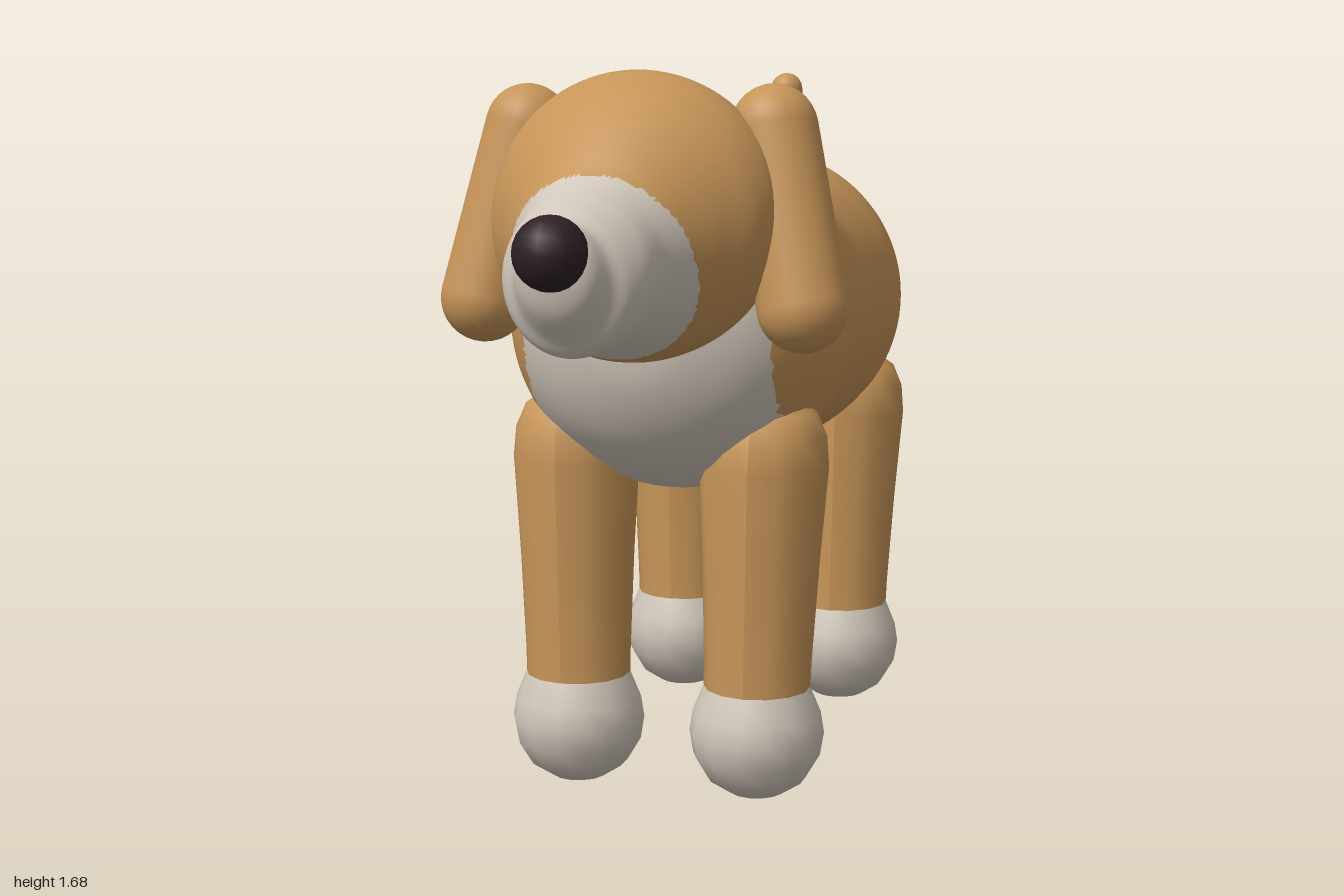
import * as THREE from 'three';

const material = (name, color) => {
  const m = new THREE.MeshStandardMaterial({ color });
  m.name = name;
  return m;
};

// Smooth skin through oval sections [z, centreY, halfHeight, halfWidth];
// faces for which isPale(x, y, z) holds go to the second material.
function loft(name, sections, materials, isPale) {
  const rows = 110, cols = 96, pos = [], tan = [], pale = [];
  const spine = new THREE.CatmullRomCurve3(
    sections.map(([z, y, h]) => new THREE.Vector3(z, y, h)), false, 'catmullrom');
  const width = new THREE.CatmullRomCurve3(
    sections.map((s) => new THREE.Vector3(s[3], 0, 0)), false, 'catmullrom');
  for (let i = 0; i <= rows; i++) {
    const s = spine.getPoint(i / rows);
    const w = Math.max(width.getPoint(i / rows).x, 0.0005);
    const h = Math.max(s.z, 0.0005);
    for (let j = 0; j < cols; j++) {
      const a = (j / cols) * Math.PI * 2;
      pos.push(w * Math.cos(a), s.y + h * Math.sin(a), s.x);
    }
  }
  const addFace = (...face) => {
    const mid = [0, 1, 2].map((k) => face.reduce((sum, v) => sum + pos[v * 3 + k] / 3, 0));
    (isPale(...mid) ? pale : tan).push(...face);
  };
  for (let i = 0; i < rows; i++) {
    for (let j = 0; j < cols; j++) {
      const a = i * cols + j, b = i * cols + (j + 1) % cols;
      addFace(a, b, b + cols);
      addFace(a, b + cols, a + cols);
    }
  }
  const g = new THREE.BufferGeometry();
  g.setAttribute('position', new THREE.Float32BufferAttribute(pos, 3));
  g.setIndex([...tan, ...pale]);
  g.addGroup(0, tan.length, 0);
  g.addGroup(tan.length, pale.length, 1);
  g.computeVertexNormals();
  const mesh = new THREE.Mesh(g, materials);
  mesh.name = name;
  return mesh;
}

// Round-ended tapered limb from point a (radius ra) to point b (radius rb)
function limb(name, a, ra, b, rb, mat, sides) {
  const from = new THREE.Vector3(...a), dir = new THREE.Vector3(...b).sub(from);
  const len = dir.length(), profile = [];
  for (let i = 0; i <= 8; i++) {
    const t = (i / 8) * Math.PI / 2;
    profile.push(new THREE.Vector2(ra * Math.sin(t), -ra * Math.cos(t)));
  }
  for (let i = 0; i <= 8; i++) {
    const t = (i / 8) * Math.PI / 2;
    profile.push(new THREE.Vector2(rb * Math.cos(t), len + rb * Math.sin(t)));
  }
  const mesh = new THREE.Mesh(new THREE.LatheGeometry(profile, sides), mat);
  mesh.position.copy(from);
  mesh.quaternion.setFromUnitVectors(new THREE.Vector3(0, 1, 0), dir.normalize());
  mesh.name = name;
  return mesh;
}

function lathe(name, points, mat) {
  const mesh = new THREE.Mesh(
    new THREE.LatheGeometry(points.map((p) => new THREE.Vector2(...p)), 14), mat);
  mesh.name = name;
  return mesh;
}

export function createModel() {
  const model = new THREE.Group();
  model.name = 'dog';
  const tan = material('tan fur', 0xc69458);
  const pale = material('pale fur', 0xd0c6ba);
  const dark = material('dark nose', 0x2e2024);

  // Body with pale chest patch
  model.add(loft('body', [
    [-1, 1.09, 0, 0], [-0.973, 1.09, 0.14, 0.14], [-0.9, 1.09, 0.257, 0.257],
    [-0.78, 1.09, 0.345, 0.342], [-0.62, 1.092, 0.383, 0.38], [-0.45, 1.092, 0.38, 0.373],
    [-0.28, 1.095, 0.37, 0.368], [-0.12, 1.105, 0.39, 0.385], [0.03, 1.115, 0.412, 0.397],
    [0.15, 1.12, 0.405, 0.385], [0.27, 1.115, 0.35, 0.345], [0.37, 1.11, 0.255, 0.255],
    [0.435, 1.11, 0.13, 0.13], [0.455, 1.11, 0, 0],
  ], [tan, pale], (x, y, z) => Math.abs(x) < 0.29 && z > -0.03 && y < 1.2));

  // Head running into the pale muzzle
  model.add(loft('head', [
    [0.07, 1.36, 0, 0], [0.09, 1.36, 0.11, 0.11], [0.15, 1.36, 0.207, 0.21],
    [0.25, 1.36, 0.281, 0.29], [0.38, 1.36, 0.315, 0.325], [0.48, 1.348, 0.298, 0.305],
    [0.56, 1.33, 0.26, 0.25], [0.63, 1.305, 0.22, 0.2], [0.7, 1.278, 0.178, 0.167],
    [0.78, 1.26, 0.16, 0.158], [0.83, 1.252, 0.148, 0.135], [0.86, 1.26, 0.122, 0.105],
    [0.91, 1.285, 0.085, 0.075], [0.935, 1.29, 0, 0],
  ], [tan, pale], (x, y, z) => z > 0.55 + 0.39 * (y - 1.1)));

  // Nose
  const nose = new THREE.Mesh(new THREE.SphereGeometry(0.076, 16, 12), dark);
  nose.name = 'nose';
  nose.position.set(0, 1.32, 0.924);
  model.add(nose);

  // Tail
  model.add(limb('tail', [0, 1.2, -0.915], 0.068, [0, 1.628, -0.905], 0.043, tan, 20));

  for (const side of [1, -1]) {
    const label = side > 0 ? 'Left' : 'Right';

    // Hanging ears
    model.add(limb('ear' + label, [side * 0.368, 1.17, 0.37], 0.1,
      [side * 0.285, 1.55, 0.305], 0.096, tan, 24));

    // Legs with pale paws
    for (const [name, z, lean] of [['front', 0.185, -0.025], ['hind', -0.665, -0.03]]) {
      const leg = new THREE.Group();
      leg.name = name + 'Leg' + label;
      leg.position.set(side * 0.22, 0, z);
      const shank = lathe('shank', [
        [0.124, 0.26], [0.125, 0.32], [0.135, 0.55], [0.149, 0.78],
        [0.142, 0.85], [0.118, 0.905], [0.07, 0.938], [0, 0.945],
      ], tan);
      // lean the shank slightly backwards and outwards towards the top
      const p = shank.geometry.attributes.position;
      for (let i = 0; i < p.count; i++) {
        const t = (p.getY(i) - 0.26) / 0.6;
        p.setX(i, p.getX(i) + side * 0.01 * t);
        p.setZ(i, p.getZ(i) + lean * t);
      }
      shank.geometry.computeVertexNormals();
      const paw = lathe('paw', [
        [0, 0], [0.065, 0.012], [0.115, 0.045], [0.148, 0.1], [0.157, 0.155],
        [0.149, 0.205], [0.124, 0.265],
      ], pale);
      leg.add(shank, paw);
      model.add(leg);
    }
  }
  return model;
}
